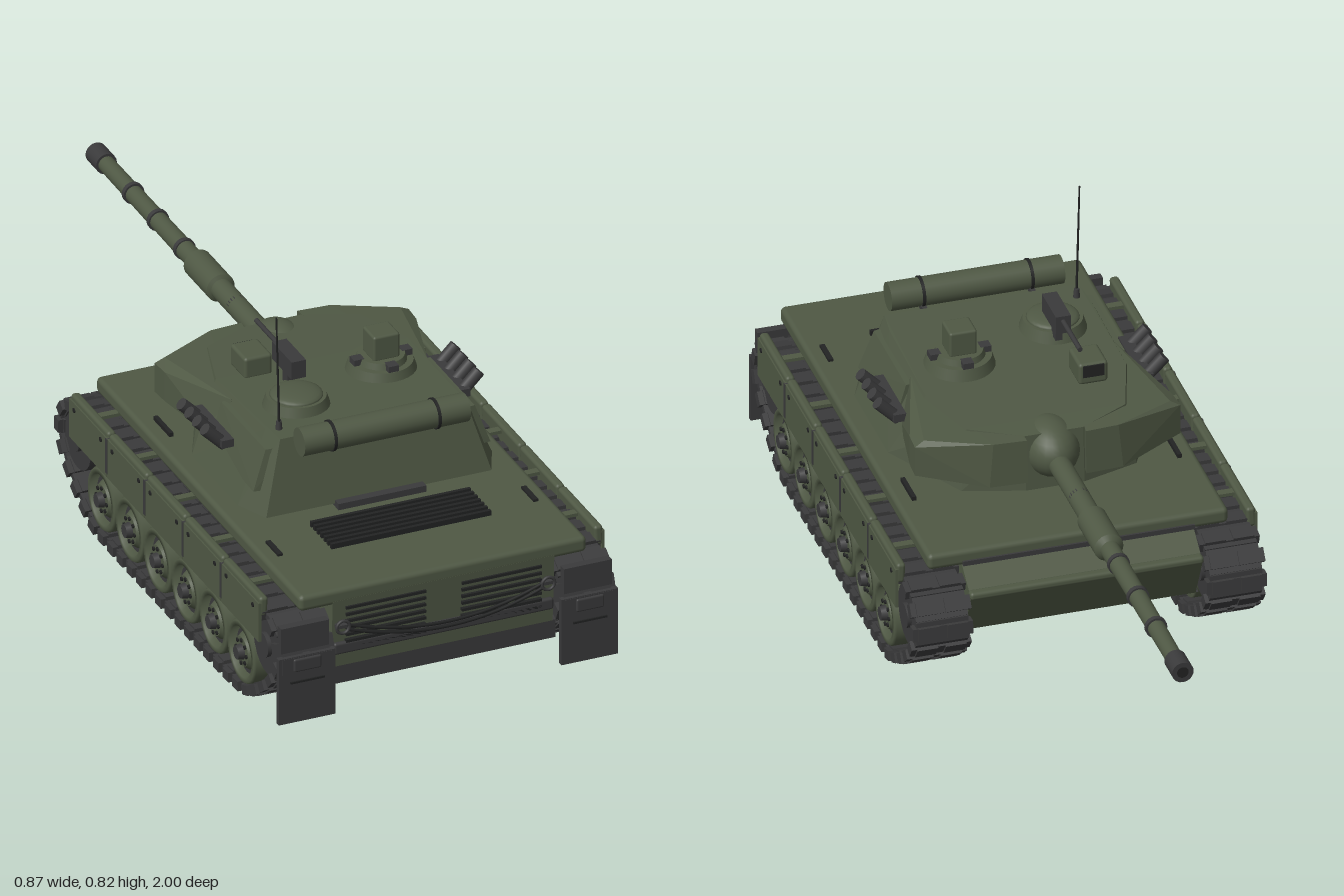
import * as THREE from 'three';
import { mergeGeometries } from 'three/addons/utils/BufferGeometryUtils.js';
import { RoundedBoxGeometry } from 'three/addons/geometries/RoundedBoxGeometry.js';
import { ConvexGeometry } from 'three/addons/geometries/ConvexGeometry.js';

const paint = (name, color) => Object.assign(new THREE.MeshStandardMaterial({ color }), { name });

export function createModel() {
  const root = new THREE.Group();
  root.name = 'tank';
  const green = paint('olive green', 0x4f5844);
  const grey = paint('dark grey', 0x3a3a3b);
  const black = paint('near black', 0x222323);

  const add = (name, geo, mat, x = 0, y = 0, z = 0) => {
    const m = new THREE.Mesh(geo, mat);
    m.name = name;
    m.position.set(x, y, z);
    root.add(m);
    return m;
  };
  const box = (w, h, d) => new THREE.BoxGeometry(w, h, d);
  const rbox = (w, h, d, r) => new RoundedBoxGeometry(w, h, d, 2, r);
  const cyl = (r1, r2, h, n = 20) => new THREE.CylinderGeometry(r1, r2, h, n);
  const cylX = (r1, r2, h, n = 20) => cyl(r1, r2, h, n).rotateZ(-Math.PI / 2);
  const cylZ = (r1, r2, h, n = 20) => cyl(r1, r2, h, n).rotateX(-Math.PI / 2);
  const shapeOf = pts => new THREE.Shape(pts.map(p => new THREE.Vector2(...p)));
  // side profile given as (z, y), extruded across x
  const sideExtrude = (pts, w) => new THREE.ExtrudeGeometry(shapeOf(pts), { depth: w, bevelEnabled: false })
    .rotateY(-Math.PI / 2).translate(w / 2, 0, 0);
  const convex = pts => new ConvexGeometry(pts.map(p => new THREE.Vector3(...p)));
  const both = pts => pts.flatMap(([x, y, z]) => [[x, y, z], [-x, y, z]]);

  // Hull
  add('upperHull', sideExtrude([[0.955, 0.135], [0.965, 0.31], [-0.17, 0.31], [-0.255, 0.25], [-0.2, 0.135]], 0.555), green);
  add('belly', sideExtrude([[0.93, 0.075], [0.955, 0.09], [0.955, 0.136], [-0.2, 0.136], [-0.1, 0.075]], 0.57), grey);
  add('deck', rbox(0.72, 0.04, 1.155, 0.012), green, 0, 0.32, 0.3875);
  add('bowStrip', box(0.555, 0.012, 0.02), grey, 0, 0.308, -0.185);
  add('bowBeam', rbox(0.56, 0.02, 0.025, 0.008), green, 0, 0.255, -0.248);

  // Engine deck grille
  for (let i = 0; i < 7; i++) add('deckSlat', box(0.4, 0.014, 0.009), black, 0, 0.346, 0.665 + i * 0.019);
  add('deckGrillePlate', box(0.22, 0.016, 0.12), grey, 0, 0.348, 0.56);

  // Rear grilles, lower bars and tow cables
  for (const s of [-1, 1]) {
    for (let i = 0; i < 7; i++) add('rearSlat', box(0.2, 0.007, 0.012), black, s * 0.145, 0.185 + i * 0.0173, 0.963);
    add('towRing', new THREE.TorusGeometry(0.016, 0.004, 8, 18), grey, s * 0.257, 0.247, 0.977);
    add('towHook', box(0.03, 0.008, 0.02), grey, s * 0.257, 0.247, 0.967);
    add('deckSlot', box(0.012, 0.008, 0.07), black, s * 0.32, 0.342, 0.73);
    add('deckHandle', box(0.01, 0.012, 0.09), black, s * 0.318, 0.344, 0.1);
  }
  add('rearBar', rbox(0.55, 0.03, 0.014, 0.006), grey, 0, 0.186, 0.962);
  for (const [ends, dip] of [[0.25, 0.212], [0.238, 0.2]]) {
    const path = new THREE.QuadraticBezierCurve3(new THREE.Vector3(-0.245, ends, 0.975),
      new THREE.Vector3(0, 2 * dip - ends, 1.005), new THREE.Vector3(0.245, ends, 0.975));
    add('towCable', new THREE.TubeGeometry(path, 24, 0.004, 6), black);
  }

  // Track links follow one closed loop given as (z, y)
  const loop = [[0.88, 0.274], [0.35, 0.266], [-0.18, 0.274], [-0.245, 0.245], [-0.268, 0.18], [-0.225, 0.11], [-0.08, 0.023],
    [0, 0.016], [0.35, 0.016], [0.72, 0.016], [0.8, 0.03], [0.93, 0.12], [0.968, 0.18], [0.945, 0.247]];
  const curve = new THREE.CatmullRomCurve3(loop.map(([z, y]) => new THREE.Vector3(0, y, z)), true, 'centripetal');
  const links = [], N = 50, pitch = curve.getLength() / N;
  for (let i = 0; i < N; i++) {
    const p = curve.getPointAt(i / N), t = curve.getTangentAt(i / N);
    const a = Math.atan2(-t.y, t.z);
    const parts = [box(0.125, 0.014, pitch * 1.06), box(0.144, 0.024, pitch * 0.6),
      box(0.05, 0.032, pitch * 0.62).translate(-0.034, 0, 0), box(0.05, 0.032, pitch * 0.62).translate(0.034, 0, 0)];
    links.push(...parts.map(g => g.rotateX(a).translate(0, p.y, p.z)));
  }
  const trackGeo = mergeGeometries(links);

  // Road wheel, turned around x
  const rimGeo = new THREE.LatheGeometry([[0.04, -0.055], [0.076, -0.055], [0.078, -0.05], [0.078, 0.05], [0.074, 0.056],
    [0.062, 0.056], [0.056, 0.035], [0.0, 0.035]].map(p => new THREE.Vector2(...p)), 28).rotateZ(-Math.PI / 2);

  for (const s of [-1, 1]) {
    add('track', trackGeo, grey, s * 0.352);
    for (let i = 0; i < 6; i++) {
      const z = -0.033 + i * 0.158, wheel = new THREE.Group();
      wheel.name = 'roadWheel';
      const put = (name, geo, mat, x, y = 0, dz = 0) => {
        const m = new THREE.Mesh(geo, mat);
        m.name = name;
        m.position.set(x, y, dz);
        wheel.add(m);
      };
      put('rim', rimGeo, green, 0);
      put('wheelRecess', cylX(0.056, 0.056, 0.006, 24), grey, 0.037);
      put('wheelDish', cylX(0.036, 0.048, 0.016), green, 0.045);
      put('hub', cylX(0.016, 0.02, 0.02, 14), grey, 0.058);
      for (let k = 0; k < 8; k++) {
        const a = k * Math.PI / 4;
        put('wheelBolt', cylX(0.005, 0.005, 0.008, 6), black, 0.053, 0.029 * Math.sin(a), 0.029 * Math.cos(a));
      }
      wheel.position.set(s * 0.36, 0.108, z);
      if (s < 0) wheel.rotation.y = Math.PI;
      root.add(wheel);
    }
    for (const z of [0.885, -0.185]) {
      add('endWheel', cylX(0.076, 0.076, 0.11, 24), grey, s * 0.352, 0.19, z);
      add('endWheelHub', cylX(0.03, 0.03, 0.13, 16), grey, s * 0.352, 0.19, z);
    }

    // Side skirts with brackets and bolts
    for (let i = 0; i < 5; i++) {
      const z = -0.068 + i * 0.215;
      const top = add('skirtTop', rbox(0.022, 0.05, 0.211, 0.008), green, s * 0.42, 0.295, z);
      top.rotation.z = s * 0.06;
      add('skirtPanel', box(0.007, 0.1, 0.211), green, s * 0.43, 0.257, z);
      if (i < 4) add('skirtBracket', box(0.01, 0.09, 0.01), grey, s * 0.43, 0.262, z + 0.1075);
      for (const dz of [-0.075, 0.075]) add('skirtBolt', cylX(0.006, 0.006, 0.008, 8), black, s * 0.432, 0.29, z + dz);
      add('skirtHanger', box(0.06, 0.008, 0.02), green, s * 0.385, 0.305, z);
    }

    // Mud flaps
    add('mudFlap', box(0.142, 0.17, 0.014), grey, s * 0.354, 0.12, 0.986);
    add('flapMount', box(0.125, 0.04, 0.028), grey, s * 0.354, 0.183, 0.98);
    add('flapPlate', rbox(0.07, 0.034, 0.02, 0.005), grey, s * 0.354, 0.183, 0.988);
    add('flapUpper', box(0.12, 0.065, 0.02), grey, s * 0.354, 0.245, 0.972);
    add('flapRib', box(0.085, 0.005, 0.006), black, s * 0.354, 0.14, 0.994);
  }

  // Turret body
  add('turretRing', cyl(0.25, 0.25, 0.03, 36), grey, 0, 0.345, 0.28);
  add('turretBody', convex(both([[0.282, 0.348, 0.6], [0.318, 0.35, 0.52], [0.318, 0.35, 0.26], [0.21, 0.355, 0.04], [0.07, 0.36, -0.01],
    [0.232, 0.525, 0.565], [0.24, 0.522, 0.5], [0.24, 0.512, 0.22], [0.19, 0.505, 0.06], [0.07, 0.5, 0.0]])), green);
  for (const s of [-1, 1]) {
    // Wedge cheeks
    add('turretCheek', convex([[0.07, 0.5, -0.02], [0.15, 0.5, -0.015], [0.295, 0.497, 0.055], [0.245, 0.508, 0.32], [0.1, 0.505, 0.2],
      [0.07, 0.39, -0.025], [0.16, 0.39, -0.02], [0.318, 0.41, 0.05], [0.318, 0.485, 0.05], [0.315, 0.41, 0.1],
      [0.315, 0.485, 0.1], [0.275, 0.4, 0.31], [0.1, 0.39, 0.2]].map(([x, y, z]) => [s * x, y, z])), green);
    // Side stowage bins
    add('sideBin', convex([[0.2, 0.4, 0.3], [0.29, 0.4, 0.3], [0.2, 0.5, 0.3], [0.262, 0.497, 0.3],
      [0.2, 0.4, 0.57], [0.297, 0.4, 0.56], [0.2, 0.5, 0.56], [0.262, 0.497, 0.55]].map(([x, y, z]) => [s * x, y, z])), green);
    // Smoke launchers
    add('launcherRail', box(0.03, 0.02, 0.18), grey, s * 0.296, 0.452, 0.325);
    for (let i = 0; i < 4; i++) {
      const tube = add('smokeLauncher', cyl(0.015, 0.015, 0.07, 12), grey, s * 0.319, 0.464, 0.258 + i * 0.044);
      tube.rotation.z = -s * Math.PI / 4;
    }
  }

  // Mantlet and gun
  add('mantlet', new THREE.SphereGeometry(1, 24, 16).scale(0.068, 0.068, 0.09), green, 0, 0.445, 0.035);
  const gunTube = [[0.026, 0.0], [0.026, 0.29], [0.035, 0.295], [0.035, 0.425], [0.023, 0.435], [0.02, 0.945]];
  for (let i = 0; i < gunTube.length - 1; i++) {
    const [[r0, a], [r1, b]] = [gunTube[i], gunTube[i + 1]];
    add('gunBarrel', cylZ(r1, r0, b - a, 24), green, 0, 0.437, -(a + b) / 2);
  }
  for (const z of [0.2, 0.5, 0.65, 0.79]) add('barrelBand', cylZ(0.026, 0.026, 0.012), grey, 0, 0.437, -z);
  add('muzzle', cylZ(0.026, 0.026, 0.06), grey, 0, 0.437, -0.97);
  add('bore', cylZ(0.014, 0.014, 0.003), black, 0, 0.437, -0.9986);

  // Commander cupola with periscope block
  add('cupola', cyl(0.075, 0.085, 0.03, 28), green, 0.125, 0.525, 0.33);
  add('cupolaLid', cyl(0.055, 0.06, 0.015, 28), green, 0.125, 0.547, 0.33);
  for (let i = 0; i < 4; i++) {
    const a = i * Math.PI / 2;
    add('periscope', box(0.026, 0.02, 0.026), grey, 0.125 + 0.06 * Math.sin(a), 0.545, 0.33 + 0.06 * Math.cos(a));
  }
  add('sightHead', rbox(0.066, 0.065, 0.066, 0.006), green, 0.125, 0.583, 0.33);

  // Second hatch with machine gun
  add('hatch', cyl(0.07, 0.08, 0.03, 28), green, -0.125, 0.53, 0.415);
  add('hatchDome', new THREE.SphereGeometry(1, 24, 12).scale(0.062, 0.015, 0.062), green, -0.125, 0.545, 0.415);
  add('gunMount', box(0.016, 0.05, 0.03), grey, -0.112, 0.56, 0.34);
  add('machineGunBody', box(0.036, 0.045, 0.11), grey, -0.112, 0.597, 0.345);
  add('machineGunBarrel', cylZ(0.006, 0.006, 0.14, 10), grey, -0.112, 0.606, 0.23);
  add('gunnerSight', rbox(0.07, 0.055, 0.085, 0.008), green, -0.145, 0.535, 0.205);
  add('sightGlass', box(0.05, 0.03, 0.006), black, -0.145, 0.543, 0.163);

  // Bedroll with straps
  add('bedroll', cylX(0.034, 0.034, 0.415, 24), green, 0, 0.539, 0.618);
  for (const x of [-0.13, 0.13]) {
    add('bedrollStrap', cylX(0.037, 0.037, 0.007, 24), black, x, 0.539, 0.618);
    add('bedrollBracket', box(0.012, 0.012, 0.06), grey, x, 0.51, 0.59);
  }

  // Antenna
  add('antennaBase', cyl(0.006, 0.009, 0.03, 10), grey, -0.213, 0.53, 0.515);
  const antenna = add('antenna', cyl(0.002, 0.003, 0.295, 6), black, -0.217, 0.669, 0.518);
  antenna.rotation.z = 0.025;
  return root;
}
